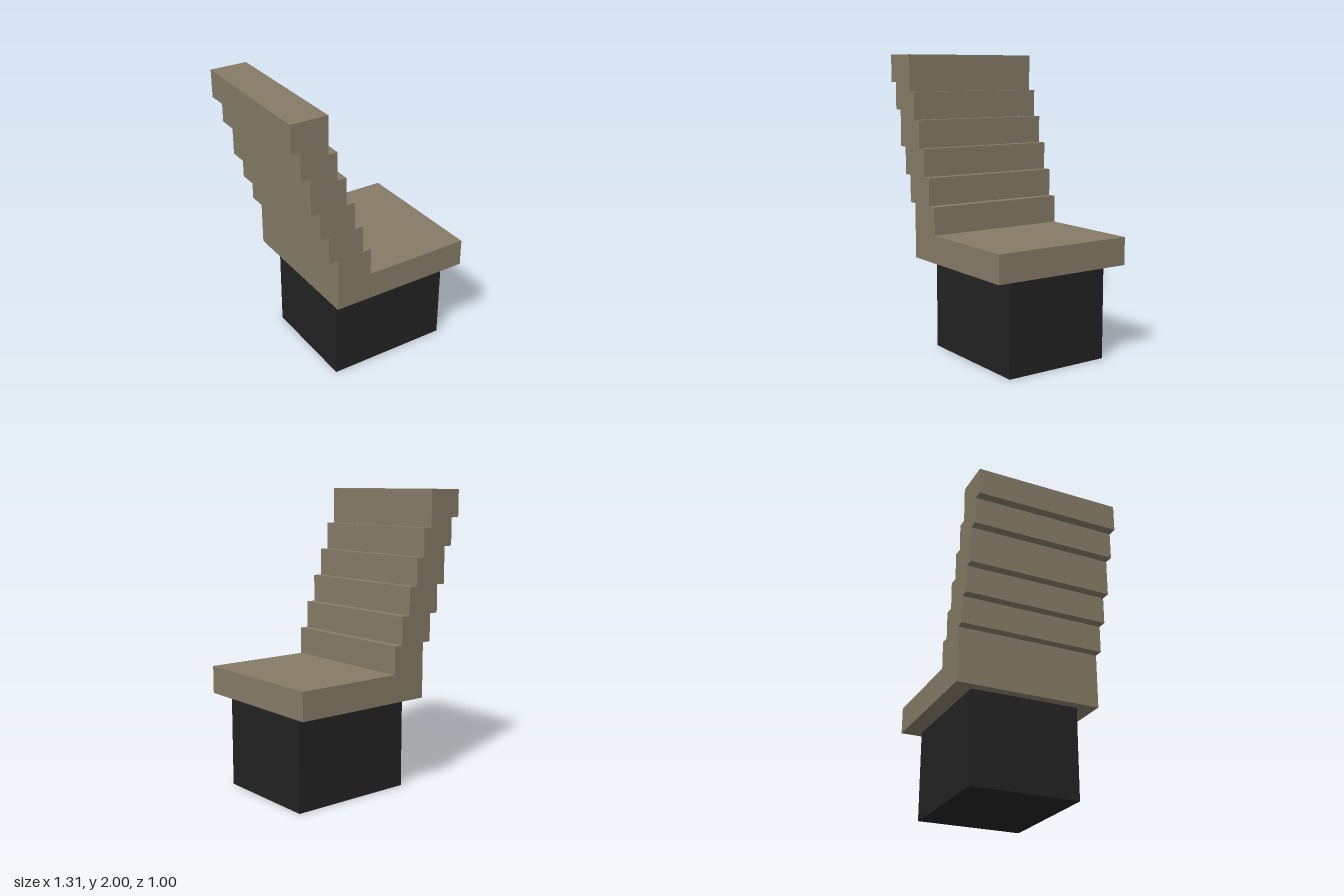
import * as THREE from 'three';

export function createModel() {
  const model = new THREE.Group();
  model.name = 'steppedChair';

  const tan = new THREE.MeshStandardMaterial({ color: 0x857b66 });
  tan.name = 'khaki upholstery';
  const black = new THREE.MeshStandardMaterial({ color: 0x222222 });
  black.name = 'black base';

  // Solid pedestal
  const pedestal = new THREE.Mesh(new THREE.BoxGeometry(0.87, 0.628, 0.75), black);
  pedestal.name = 'pedestal';
  pedestal.position.set(0.155, 0.314, 0);
  model.add(pedestal);

  // Seat and stepped backrest share one side profile
  const seatBottom = 0.628;
  const backX = -0.345, frontX = -0.095, stepX = 0.0623;
  const rearHeights = [1.003, 1.19, 1.378, 1.628, 1.815, 2];
  const frontHeights = [0.815, 1.003, 1.19, 1.378, 1.565, 1.752, 2];

  const profile = new THREE.Shape();
  profile.moveTo(backX, seatBottom);
  profile.lineTo(0.655, seatBottom);
  profile.lineTo(0.655, frontHeights[0]);
  // Up the front steps
  for (let i = 0; i < 6; i++) {
    const x = frontX - i * stepX;
    profile.lineTo(x, frontHeights[i]);
    profile.lineTo(x, frontHeights[i + 1]);
  }
  // Down the rear steps
  for (let i = 5; i >= 0; i--) {
    const x = backX - i * stepX;
    profile.lineTo(x, rearHeights[i]);
    profile.lineTo(x, i > 0 ? rearHeights[i - 1] : seatBottom);
  }

  const seatGeometry = new THREE.ExtrudeGeometry(profile, { depth: 1, bevelEnabled: false });
  seatGeometry.translate(0, 0, -0.5);
  const seat = new THREE.Mesh(seatGeometry, tan);
  seat.name = 'seatAndBackrest';
  model.add(seat);

  return model;
}
